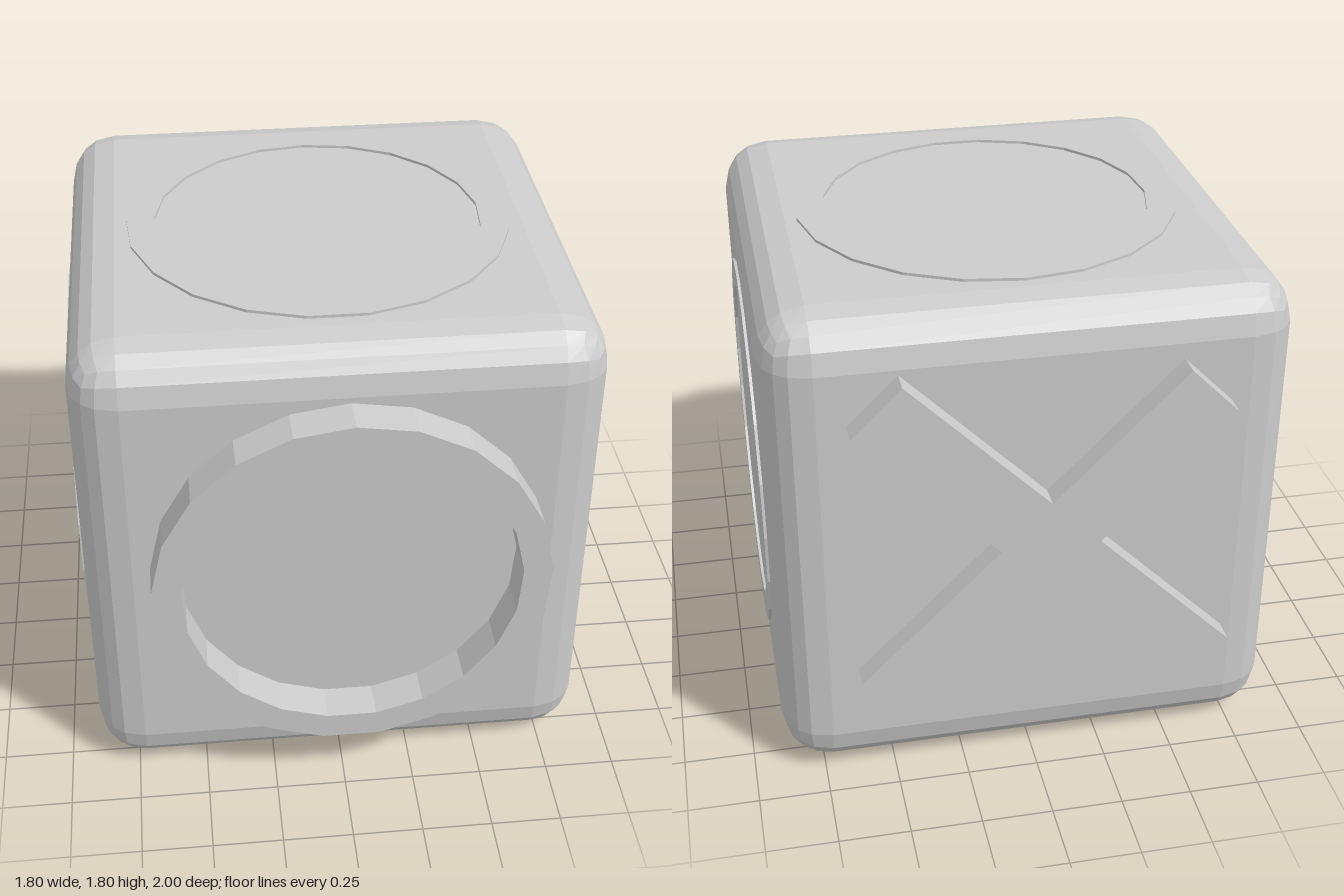
import * as THREE from 'three';
import { RoundedBoxGeometry } from 'three/addons/geometries/RoundedBoxGeometry.js';

const SIDES = 21;
const MID = new THREE.Vector3(0, 0.9, -0.025); // centre of the cube
const HALF = 0.89;

// Regular polygon with its first corner pointing up
function polygon(radius) {
  return Array.from({ length: SIDES }, (_, i) => {
    const a = Math.PI / 2 + (i / SIDES) * Math.PI * 2;
    return new THREE.Vector2(Math.cos(a) * radius, Math.sin(a) * radius);
  });
}

// Flat ring, extruded from z = 0 to z = depth
function ringGeometry(depth) {
  const shape = new THREE.Shape(polygon(0.68));
  shape.holes.push(new THREE.Path(polygon(0.58)));
  return new THREE.ExtrudeGeometry(shape, { depth, bevelEnabled: false });
}

// X made of two diagonal bars, as one outline around their crossing
function crossGeometry(depth) {
  const w = 0.12;
  // Arm reach: upper right, upper left, lower left, lower right
  const reach = [0.81, 0.757, 0.8, 0.806];
  const points = [];
  reach.forEach((r, i) => {
    const a = Math.PI / 4 + (i * Math.PI) / 2;
    for (const [u, v] of [[r, -w], [r, w], [w, w]]) {
      points.push(new THREE.Vector2(
        u * Math.cos(a) - v * Math.sin(a),
        u * Math.sin(a) + v * Math.cos(a)
      ));
    }
  });
  return new THREE.ExtrudeGeometry(new THREE.Shape(points), { depth, bevelEnabled: false });
}

export function createModel() {
  const group = new THREE.Group();
  const material = new THREE.MeshStandardMaterial({ color: 0xcccccc, flatShading: true });
  const add = (name, geometry, x, y, z) => {
    const mesh = new THREE.Mesh(geometry, material);
    mesh.name = name;
    mesh.position.set(x, y, z);
    group.add(mesh);
  };

  // Cube with rounded edges
  add('cubeBody', new RoundedBoxGeometry(HALF * 2, HALF * 2, HALF * 2, 2, 0.17), MID.x, MID.y, MID.z);

  // Tall ring on the front
  add('frontRing', ringGeometry(0.2), 0.02, 0.92, 0.8);

  // Cross on the back
  add('backCross', crossGeometry(0.15), -0.035, 0.945, -1);

  // Rings standing just proud of the other four faces
  const depth = 0.1;
  const q = Math.PI / 2;
  const flush = () => ringGeometry(depth).translate(0, 0, 0.9 - depth);
  add('topRing', flush().rotateX(-q), MID.x, MID.y, MID.z);
  add('bottomRing', flush().rotateZ(Math.PI).rotateX(q), MID.x, MID.y, MID.z);
  add('leftRing', flush().rotateZ(-q).rotateY(q), MID.x, MID.y, MID.z);
  add('rightRing', flush().rotateZ(q).rotateY(-q), MID.x, MID.y, MID.z);

  return group;
}
